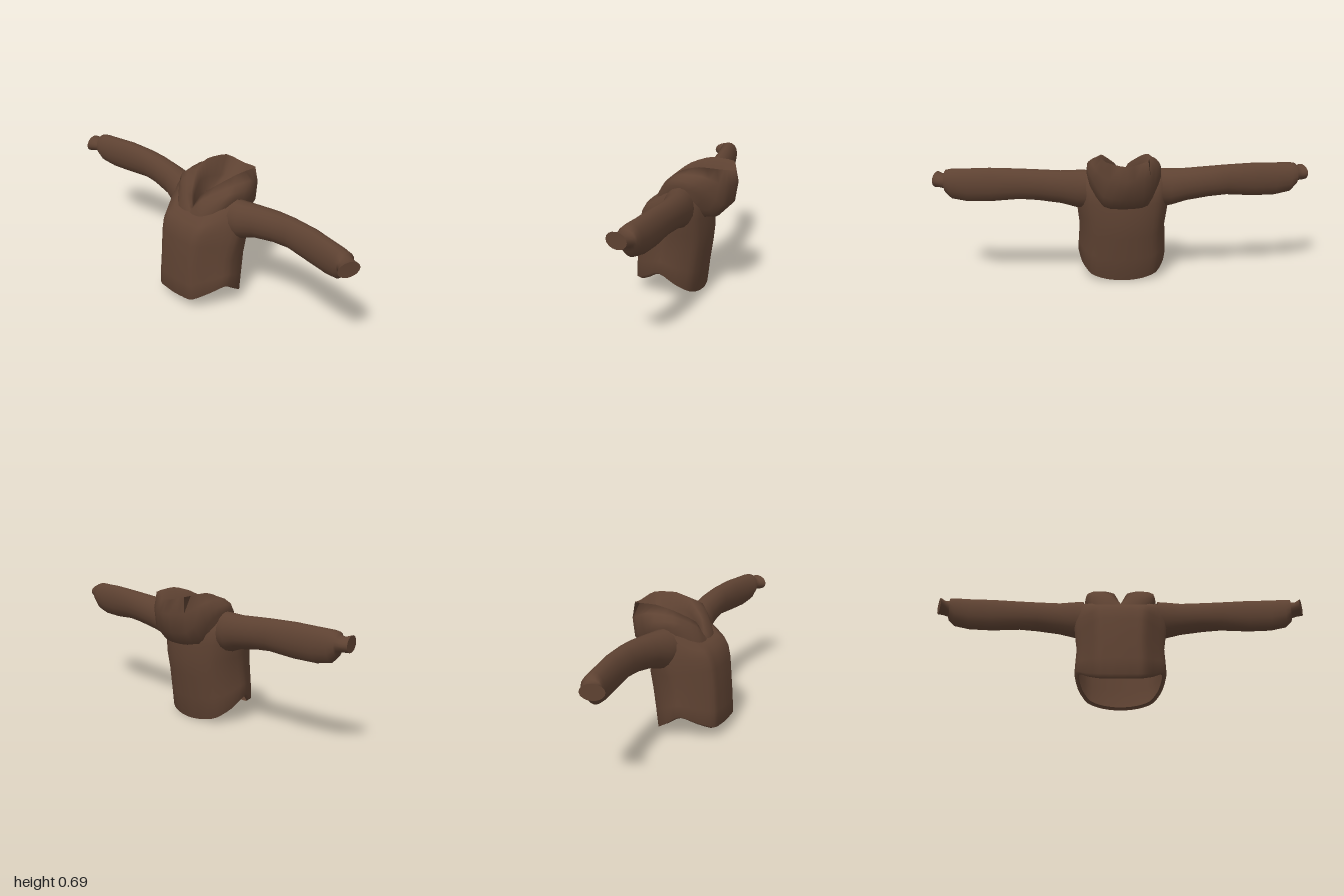
import * as THREE from 'three';

// Skin a list of closed rings; optionally cap the last ring.
function loft(rings, cap = false) {
  const n = rings[0].length;
  const pos = rings.flat().flatMap((p) => [p.x, p.y, p.z]);
  const index = [];
  for (let i = 0; i < rings.length - 1; i++) {
    for (let j = 0; j < n; j++) {
      const k = (j + 1) % n;
      const a = i * n + j, b = i * n + k, c = (i + 1) * n + k, d = (i + 1) * n + j;
      index.push(a, b, c, a, c, d);
    }
  }
  if (cap) {
    const base = pos.length / 3;
    rings.at(-1).forEach((p) => pos.push(p.x, p.y, p.z));
    for (let j = 1; j < n - 1; j++) index.push(base, base + j, base + j + 1);
  }
  const g = new THREE.BufferGeometry();
  g.setAttribute('position', new THREE.Float32BufferAttribute(pos, 3));
  g.setIndex(index);
  g.computeVertexNormals();
  return g;
}

// Mirror a half ring (front centre to back centre) and smooth it.
function mirroredRing(half, tension) {
  const left = half.map((p) => new THREE.Vector3(...p));
  const right = left.slice(1, -1).reverse().map((p) => new THREE.Vector3(-p.x, p.y, p.z));
  const all = [...left, ...right];
  const n = all.length * 3;
  return new THREE.CatmullRomCurve3(all, true, 'catmullrom', tension).getPoints(n).slice(0, n);
}

// Cross-section: share of half width, and of depth from side to front (+) or back (-).
const torsoSection = [[0, 1], [0.28, 0.98], [0.52, 0.92], [0.77, 0.5], [1, 0], [0.93, -0.45], [0.73, -0.8], [0.4, -0.95], [0, -1]];

// Rows: y at front, side, back; half width; z at front, back, side.
function torsoGeometry() {
  const rows = [
    [0.045, 0.125, 0.012, 0.215, 0.24, -0.075, 0.1],
    [0.06, 0.14, 0.0, 0.238, 0.266, -0.09, 0.1],
    [0.15, 0.2, 0.12, 0.235, 0.264, -0.105, 0.09],
    [0.27, 0.28, 0.24, 0.23, 0.256, -0.124, 0.08],
    [0.38, 0.36, 0.33, 0.24, 0.246, -0.133, 0.06],
    [0.435, 0.45, 0.42, 0.249, 0.232, -0.128, 0.035],
    [0.475, 0.55, 0.47, 0.245, 0.208, -0.12, 0.0],
    [0.495, 0.592, 0.5, 0.205, 0.175, -0.105, -0.01],
    [0.51, 0.6, 0.52, 0.14, 0.14, -0.09, 0.0],
  ];
  return loft(rows.map(([yF, yS, yB, w, zF, zB, zS]) =>
    mirroredRing(torsoSection.map(([u, t]) => [
      w * u,
      THREE.MathUtils.lerp(yS, t > 0 ? yF : yB, Math.abs(t)),
      THREE.MathUtils.lerp(zS, t > 0 ? zF : zB, Math.abs(t)),
    ]), 0.4)));
}

// Sleeve and cuff rows: x, top, bottom, back z, front z, slant of the end.
const sleeveRows = [
  [0.2, 0.595, 0.39, -0.085, 0.08, 0],
  [0.25, 0.597, 0.395, -0.092, 0.068, 0],
  [0.33, 0.6, 0.423, -0.098, 0.04, 0],
  [0.45, 0.61, 0.444, -0.1, 0.026, 0],
  [0.55, 0.616, 0.452, -0.092, 0.02, 0],
  [0.7, 0.62, 0.44, -0.078, 0.03, 0],
  [0.82, 0.615, 0.438, -0.06, 0.045, 0],
  [0.9, 0.612, 0.452, -0.048, 0.06, 0.005],
  [0.93, 0.605, 0.485, -0.04, 0.065, 0.01],
  [0.933, 0.588, 0.505, -0.03, 0.062, 0.01],
  [0.955, 0.582, 0.51, -0.022, 0.075, 0.015],
  [0.98, 0.59, 0.508, -0.012, 0.102, 0.02],
];

function sleeveGeometry(side) {
  const n = 16;
  return loft(sleeveRows.map(([x, top, bottom, back, front, slant]) =>
    Array.from({ length: n }, (_, j) => {
      const a = side * (j / n) * Math.PI * 2;
      return new THREE.Vector3(
        side * (x - slant * Math.sin(a)),
        (top + bottom) / 2 + ((top - bottom) / 2) * Math.cos(a),
        (front + back) / 2 + ((front - back) / 2) * Math.sin(a));
    })), true);
}

function hoodGeometry() {
  const halves = [
    // base, tucked into the torso
    [[0, 0.475, 0.165], [0.09, 0.495, 0.15], [0.175, 0.56, 0.06], [0.175, 0.5, -0.06], [0.11, 0.425, -0.11], [0, 0.42, -0.12]],
    // underside
    [[0, 0.495, 0.158], [0.085, 0.53, 0.143], [0.185, 0.6, 0.05], [0.192, 0.57, -0.09], [0.115, 0.435, -0.165], [0, 0.422, -0.18]],
    // middle bulge
    [[0, 0.505, 0.15], [0.07, 0.558, 0.13], [0.18, 0.63, 0.04], [0.19, 0.61, -0.105], [0.12, 0.5, -0.215], [0, 0.49, -0.25]],
    // upper bulge
    [[0, 0.515, 0.142], [0.055, 0.58, 0.118], [0.15, 0.652, 0.025], [0.172, 0.655, -0.12], [0.12, 0.6, -0.228], [0, 0.59, -0.268]],
    // rim
    [[0, 0.525, 0.128], [0.035, 0.6, 0.1], [0.1, 0.665, 0.005], [0.125, 0.692, -0.09], [0.11, 0.683, -0.218], [0, 0.66, -0.248]],
    // lining
    [[0, 0.5, 0.115], [0.04, 0.56, 0.08], [0.08, 0.61, 0], [0.095, 0.6, -0.08], [0.09, 0.575, -0.19], [0, 0.57, -0.21]],
    // neck hole
    [[0, 0.48, 0.11], [0.048, 0.5, 0.06], [0.07, 0.53, 0], [0.068, 0.54, -0.05], [0.05, 0.54, -0.075], [0, 0.54, -0.08]],
  ];
  return loft(halves.map((half) => mirroredRing(half, 0.3)));
}

export function createModel() {
  const group = new THREE.Group();
  group.name = 'hoodedSweater';
  const cloth = new THREE.MeshStandardMaterial({ color: 0x5e4232, side: THREE.DoubleSide });
  cloth.name = 'brown cloth';

  const add = (name, geometry) => {
    const mesh = new THREE.Mesh(geometry, cloth);
    mesh.name = name;
    group.add(mesh);
  };

  add('torso', torsoGeometry());
  add('hood', hoodGeometry());
  add('leftSleeve', sleeveGeometry(1));
  add('rightSleeve', sleeveGeometry(-1));
  return group;
}
